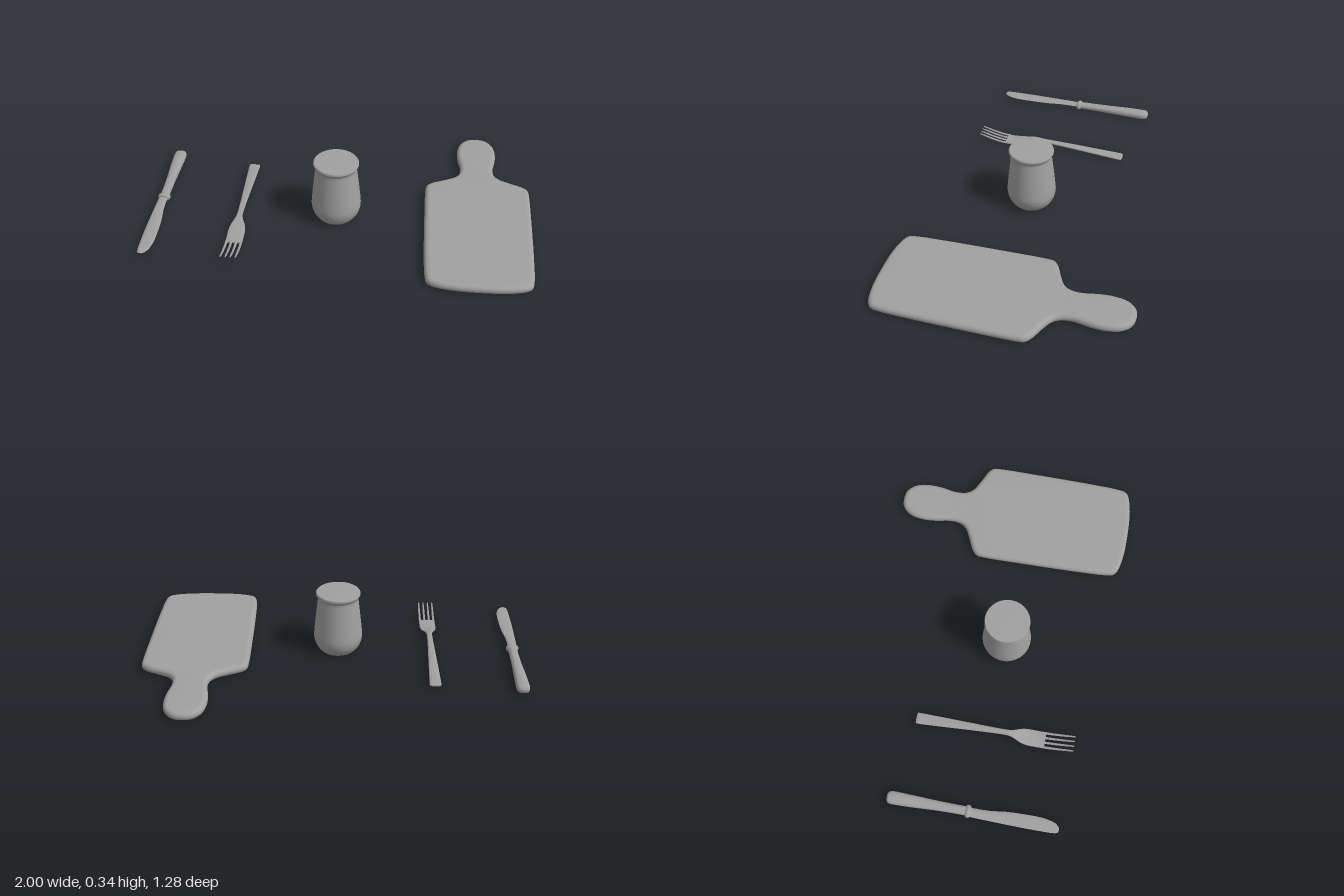
import * as THREE from 'three';
import { mergeVertices, toCreasedNormals } from 'three/addons/utils/BufferGeometryUtils.js';

const material = new THREE.MeshStandardMaterial({ color: 0xa0a0a0 });

function addMesh(parent, name, geometry) {
  const mesh = new THREE.Mesh(geometry, material);
  mesh.name = name;
  parent.add(mesh);
  return mesh;
}

// Lofts rounded sections along z. Each row: [z, left x, right x, middle y, height].
// power 1 gives an ellipse, smaller values a squarer section.
function loft(rows, power = 1, steps = 32, sides = 20) {
  const columns = [1, 2, 3, 4].map(
    (c) => new THREE.SplineCurve(rows.map((r) => new THREE.Vector2(r[0], r[c])))
  );
  const bend = (v) => Math.sign(v) * Math.abs(v) ** power;
  const positions = [];
  const index = [];
  for (let i = 0; i <= steps; i++) {
    const p = columns.map((curve) => curve.getPoint(i / steps));
    const [left, right, middle, height] = p.map((v) => v.y);
    for (let j = 0; j < sides; j++) {
      const a = (j / sides) * Math.PI * 2;
      positions.push(
        (left + right) / 2 + ((right - left) / 2) * bend(Math.cos(a)),
        middle + (height / 2) * bend(Math.sin(a)),
        p[0].x
      );
    }
  }
  for (let i = 0; i < steps; i++) {
    for (let j = 0; j < sides; j++) {
      const k = (j + 1) % sides;
      const a = i * sides + j, b = i * sides + k;
      index.push(a, b, b + sides, a, b + sides, a + sides);
    }
  }
  // flat end caps
  const last = steps * sides;
  for (let j = 1; j < sides - 1; j++) {
    index.push(0, j + 1, j, last, last + j, last + j + 1);
  }
  const geometry = new THREE.BufferGeometry();
  geometry.setAttribute('position', new THREE.Float32BufferAttribute(positions, 3));
  geometry.setIndex(index);
  return toCreasedNormals(geometry, 0.8);
}

// Board outline: half profile mirrored, with softly rounded edges
function cuttingBoard() {
  const half = [
    [0, 0.641], [0.14, 0.635], [0.23, 0.615], [0.257, 0.595], [0.267, 0.55],
    [0.274, 0.4], [0.279, 0.1], [0.279, -0.14], [0.274, -0.172], [0.25, -0.197],
    [0.17, -0.235], [0.12, -0.264], [0.096, -0.3], [0.09, -0.36], [0.104, -0.44],
    [0.107, -0.52], [0.09, -0.59], [0.05, -0.632], [0, -0.642],
  ];
  const mirrored = half.slice(1, -1).reverse().map(([x, z]) => [-x, z]);
  const loop = [...half, ...mirrored].map(([x, z]) => new THREE.Vector3(x, -z, 0));
  const outline = new THREE.CatmullRomCurve3(loop, true).getPoints(140).slice(0, -1);
  const shape = new THREE.Shape(outline.map((p) => new THREE.Vector2(p.x, p.y)));
  const geometry = new THREE.ExtrudeGeometry(shape, {
    depth: 0.003, bevelThickness: 0.022, bevelSize: 0.025, bevelOffset: -0.025, bevelSegments: 6,
  });
  geometry.translate(0, 0, 0.022).rotateX(-Math.PI / 2);
  // shared vertices weight normals by area, so the faces stay flat and the rim smooth
  geometry.deleteAttribute('uv');
  geometry.deleteAttribute('normal');
  const smooth = mergeVertices(geometry);
  smooth.computeVertexNormals();
  return smooth;
}

// Closed jar with narrowed foot, tapering wall and flared lip
function jar() {
  const wall = new THREE.SplineCurve([
    [0.093, 0.003], [0.106, 0.018], [0.119, 0.04], [0.127, 0.066], [0.129, 0.095], [0.122, 0.17],
    [0.112, 0.26], [0.107, 0.305], [0.11, 0.317], [0.117, 0.328], [0.118, 0.336], [0.114, 0.342],
  ].map(([r, y]) => new THREE.Vector2(r, y))).getPoints(55);
  const profile = [new THREE.Vector2(0, 0.003), ...wall, new THREE.Vector2(0, 0.343)];
  return toCreasedNormals(new THREE.LatheGeometry(profile, 48), 0.7);
}

function knife() {
  const group = new THREE.Group();
  group.name = 'knife';
  const y = 0.024;
  addMesh(group, 'knifeHandle', loft([
    [-0.379, -0.976, -0.952, y, 0.018], [-0.376, -0.985, -0.942, y, 0.028],
    [-0.368, -0.993, -0.934, y, 0.037], [-0.345, -0.997, -0.929, y, 0.042],
    [-0.25, -0.995, -0.932, y, 0.042], [-0.1, -0.988, -0.938, y, 0.036],
    [0.04, -0.987, -0.94, y, 0.031],
  ], 0.75));
  addMesh(group, 'knifeCollar', loft([
    [0.03, -0.988, -0.941, y, 0.032], [0.036, -0.996, -0.931, y, 0.041],
    [0.05, -0.996, -0.931, y, 0.041], [0.058, -0.988, -0.941, y, 0.032],
  ], 0.85, 12));
  addMesh(group, 'knifeBlade', loft([
    [0.045, -0.99, -0.942, y, 0.018], [0.09, -0.992, -0.943, y, 0.012],
    [0.16, -0.994, -0.941, y, 0.009], [0.23, -0.996, -0.932, y, 0.008],
    [0.32, -0.998, -0.928, y, 0.008], [0.42, -0.998, -0.929, y, 0.007],
    [0.48, -0.997, -0.941, y, 0.006], [0.505, -0.992, -0.956, y, 0.005],
    [0.513, -0.982, -0.968, y, 0.003],
  ], 1, 48));
  return group;
}

function fork() {
  const group = new THREE.Group();
  group.name = 'fork';
  // rows: z, half width, middle y, thickness
  const body = [
    [-0.315, 0.02, 0.01, 0.007], [-0.311, 0.027, 0.01, 0.01], [-0.3, 0.03, 0.011, 0.012],
    [-0.2, 0.027, 0.017, 0.013], [-0.05, 0.021, 0.027, 0.014],
    [0.08, 0.016, 0.034, 0.014], [0.17, 0.015, 0.037, 0.014],
    [0.205, 0.022, 0.032, 0.013], [0.245, 0.038, 0.021, 0.011],
    [0.285, 0.044, 0.013, 0.01], [0.33, 0.044, 0.009, 0.009],
    [0.372, 0.044, 0.009, 0.009],
  ];
  addMesh(group, 'forkBody', loft(body.map(([z, w, y, t]) => [z, -w, w, y, t]), 0.6, 60));
  // four tines curving up at the tips
  for (let i = 0; i < 4; i++) {
    const x = (i - 1.5) * 0.0253;
    const tine = [
      [0.36, 0.0065, 0.009, 0.009], [0.4, 0.006, 0.012, 0.009],
      [0.45, 0.0055, 0.022, 0.009], [0.5, 0.0045, 0.036, 0.008], [0.525, 0.003, 0.043, 0.005],
    ];
    addMesh(group, 'forkTine', loft(tine.map(([z, w, y, t]) => [z, x - w, x + w, y, t]), 0.7, 20, 12));
  }
  group.position.x = -0.527;
  return group;
}

export function createModel() {
  const model = new THREE.Group();
  model.name = 'tableSetting';
  addMesh(model, 'cuttingBoard', cuttingBoard()).position.x = 0.718;
  addMesh(model, 'jar', jar()).position.set(-0.027, 0, 0.08);
  model.add(knife(), fork());
  return model;
}
